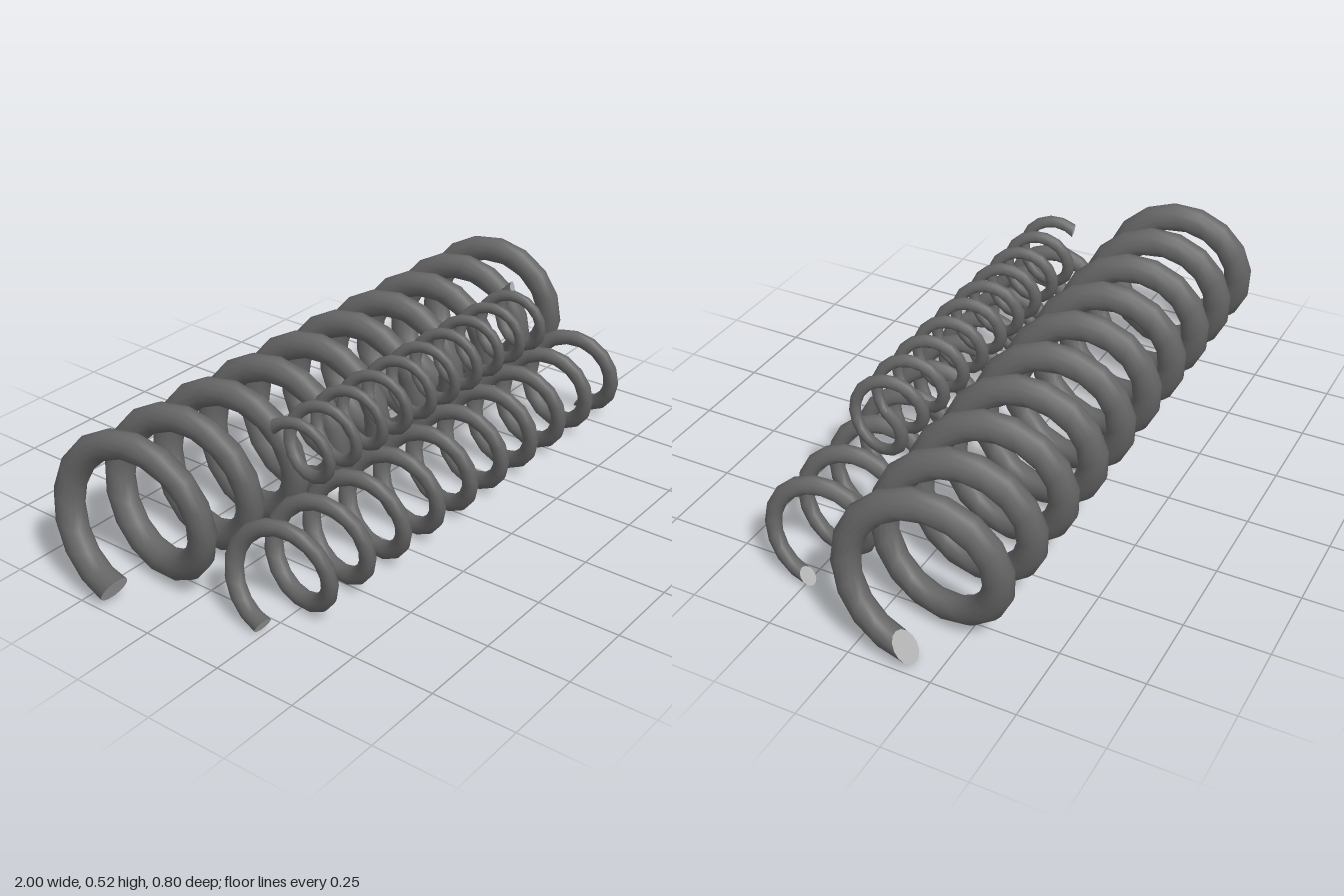
import * as THREE from 'three';

const STEPS = 16; // segments per turn
const SIDES = 14; // sides of the wire
const TURNS = 10;
const SHEAR = 0.63; // lean of each wire section along the coil

// One ring of wire points at a step along the coil
function ring({ radius, wire, pitch, phase, y, z }, step) {
  const t = phase + (step / STEPS) * Math.PI * 2;
  const x0 = pitch * (step / STEPS - TURNS / 2);
  const slope = pitch / (2 * Math.PI * radius);
  const points = [];
  for (let j = 0; j < SIDES; j++) {
    const a = (j / SIDES) * Math.PI * 2;
    const out = wire * 1.08 * Math.cos(a);
    const side = wire * 0.96 * Math.sin(a);
    const along = SHEAR * out - slope * side;
    const r = radius + out;
    points.push(
      x0 + side,
      y - r * Math.cos(t) + along * Math.sin(t),
      z - r * Math.sin(t) - along * Math.cos(t)
    );
  }
  return points;
}

function build(positions, index) {
  const g = new THREE.BufferGeometry();
  g.setAttribute('position', new THREE.Float32BufferAttribute(positions, 3));
  g.setIndex(index);
  g.computeVertexNormals();
  return g;
}

function coilGeometry(spec) {
  const positions = [];
  const index = [];
  const count = STEPS * TURNS;
  for (let i = 0; i <= count; i++) {
    positions.push(...ring(spec, i));
    if (i === count) break;
    for (let j = 0; j < SIDES; j++) {
      const k = (j + 1) % SIDES;
      const a = i * SIDES + j, b = i * SIDES + k;
      index.push(a, a + SIDES, b, b, a + SIDES, b + SIDES);
    }
  }
  return build(positions, index);
}

// Flat cut end of the wire
function endGeometry(spec, atEnd) {
  const index = [];
  for (let j = 1; j < SIDES - 1; j++) {
    if (atEnd) index.push(0, j + 1, j);
    else index.push(0, j, j + 1);
  }
  return build(ring(spec, atEnd ? STEPS * TURNS : 0), index);
}

export function createModel() {
  const steel = new THREE.MeshStandardMaterial({ color: 0x666666 });
  steel.name = 'dark steel';
  const cut = new THREE.MeshStandardMaterial({ color: 0xb4b4b4 });
  cut.name = 'cut steel';

  const springs = [
    { name: 'largeSpring', radius: 0.2, wire: 0.0405, pitch: 0.1925, phase: 0, y: 0.257, z: -0.157 },
    { name: 'mediumSpring', radius: 0.13, wire: 0.0242, pitch: 0.163, phase: 0, y: 0.159, z: 0.245 },
    { name: 'smallSpring', radius: 0.0925, wire: 0.0168, pitch: 0.1166, phase: 2.4, y: 0.412, z: 0.164 },
  ];

  const model = new THREE.Group();
  model.name = 'springs';
  for (const spec of springs) {
    const spring = new THREE.Group();
    spring.name = spec.name;
    const coil = new THREE.Mesh(coilGeometry(spec), steel);
    coil.name = 'coil';
    spring.add(coil);
    for (const atEnd of [false, true]) {
      const end = new THREE.Mesh(endGeometry(spec, atEnd), cut);
      end.name = atEnd ? 'leftEnd' : 'rightEnd';
      spring.add(end);
    }
    model.add(spring);
  }
  return model;
}
